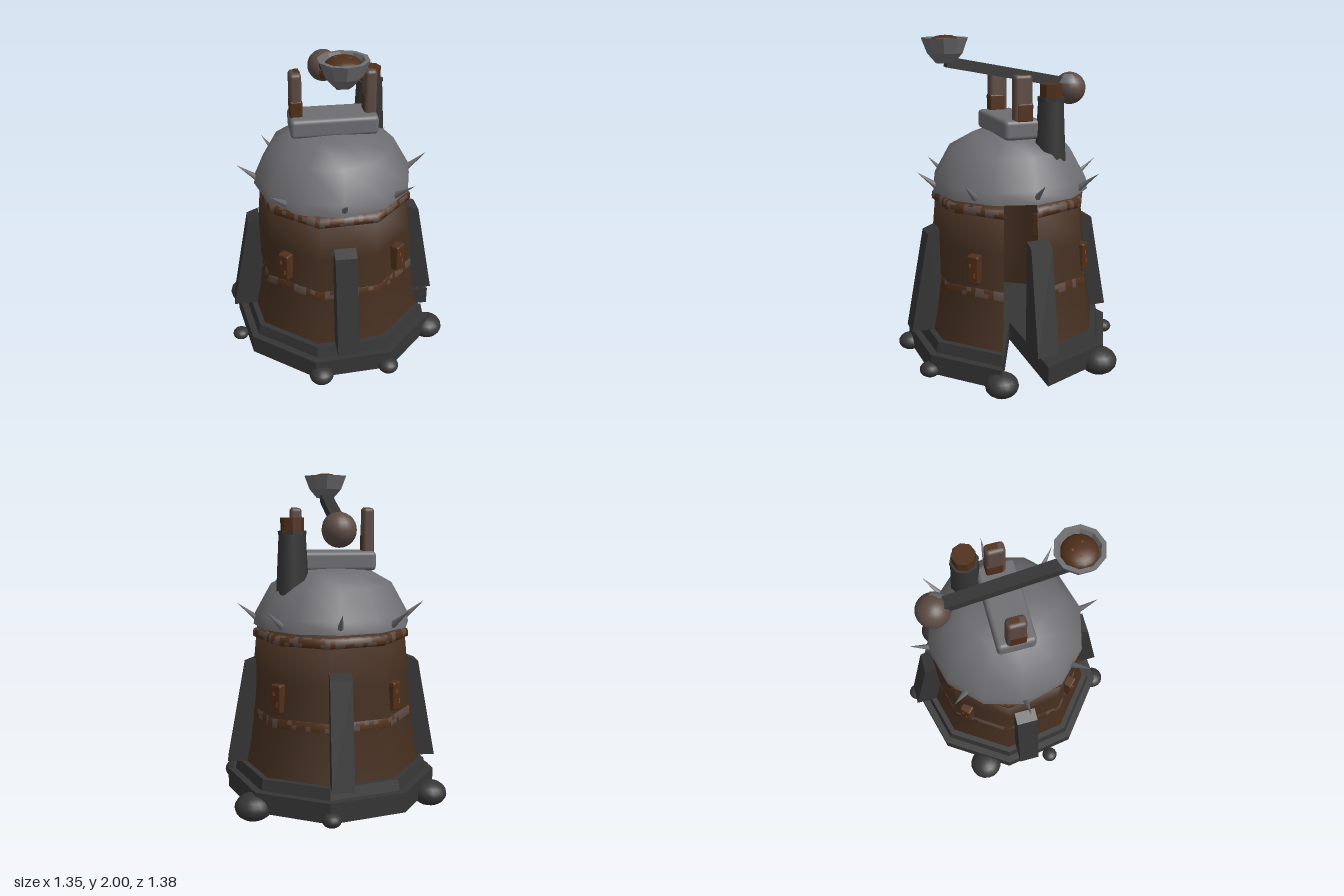
import * as THREE from 'three';
import { RoundedBoxGeometry } from 'three/addons/geometries/RoundedBoxGeometry.js';

const START = Math.PI / 2;                          // the shell is open between +x and 24 degrees
const SIDES = 8;
const STEP = THREE.MathUtils.degToRad(42);
const ARC = STEP * SIDES;
const CX = -0.007;                                  // slight offset of the top fittings

function makeMaterial(name, color, side = THREE.FrontSide) {
  const m = new THREE.MeshStandardMaterial({ color, side });
  m.name = name;
  return m;
}

function seeded(seed) {
  return () => {
    seed = (seed * 16807) % 2147483647;
    return seed / 2147483647;
  };
}

const faceted = (g) => {
  const f = g.toNonIndexed();
  f.computeVertexNormals();
  return f;
};

const profile = (pairs) => pairs.map(([x, y]) => new THREE.Vector2(x, y));

// Patchy hoop that follows the eight flat sides of the shell
function patchyBand(pairs, seed) {
  const sub = 12;
  const g = new THREE.LatheGeometry(profile(pairs), SIDES * sub, START, ARC);
  const p = g.attributes.position;
  for (let i = 0; i < p.count; i++) {
    const column = Math.floor(i / pairs.length);
    const a = (column % sub) / sub * STEP - STEP / 2;
    const k = Math.cos(STEP / 2) / Math.cos(a);
    p.setX(i, p.getX(i) * k);
    p.setZ(i, p.getZ(i) * k);
  }
  const rnd = seeded(seed);
  const rows = pairs.length - 1;
  let worn = 0;
  for (let c = 0; c < SIDES * sub; c++) {
    if (rnd() < 0.45) worn = 1 - worn;
    for (let r = 0; r < rows; r++) {
      const flip = rnd() < 0.15 ? 1 : 0;
      g.addGroup((c * rows + r) * 6, 6, worn ^ flip);
    }
  }
  return g;
}

export function createModel() {
  const model = new THREE.Group();
  model.name = 'model';

  const brown = makeMaterial('shell brown', 0x452f20, THREE.DoubleSide);
  const iron = makeMaterial('dark iron', 0x353535, THREE.DoubleSide);
  const steel = makeMaterial('grey steel', 0x6e6e72, THREE.DoubleSide);
  const worn = makeMaterial('worn metal', 0x5c4a43);
  const rust = makeMaterial('rust', 0x4f2f1a);
  const orange = makeMaterial('orange rust', 0x8a4518);

  const add = (name, geometry, material, x = 0, y = 0, z = 0, parent = model) => {
    const m = new THREE.Mesh(geometry, material);
    m.name = name;
    m.position.set(x, y, z);
    parent.add(m);
    return m;
  };

  // Base slabs with the wedge opening
  const slab = (rt, rb, h) => faceted(new THREE.CylinderGeometry(rt, rb, h, SIDES, 1, false, START, ARC));
  add('baseSlab', slab(0.645, 0.645, 0.12), iron, 0, 0.115, 0);
  add('baseStep', slab(0.585, 0.6, 0.065), iron, 0, 0.207, 0);
  // End walls of the base at the opening
  for (const a of [START, START + ARC]) {
    const wall = add('baseEnd', new THREE.PlaneGeometry(0.645, 0.12), iron,
      Math.sin(a) * 0.3225, 0.115, Math.cos(a) * 0.3225);
    wall.rotation.y = a - Math.PI / 2;
  }

  // Flared shell
  add('shell', new THREE.LatheGeometry(profile([
    [0.55, 0.24], [0.522, 0.38], [0.502, 0.54], [0.478, 0.8], [0.45, 1.09], [0, 1.1],
  ]), SIDES, START, ARC), brown);

  // Hoops
  add('lowerBand', patchyBand([[0.5, 0.53], [0.507, 0.535], [0.503, 0.56], [0.5, 0.585], [0.493, 0.59]], 71), [rust, worn]);
  add('upperBand', patchyBand([[0.452, 1.005], [0.475, 1.015], [0.477, 1.035], [0.472, 1.06], [0.447, 1.07]], 29), [rust, worn]);

  // Domed lid
  add('dome', new THREE.LatheGeometry(profile([
    [0.478, 1.09], [0.468, 1.16], [0.37, 1.335], [0.22, 1.42], [0, 1.44],
  ]), 12), steel, CX, 0, 0);

  // Spikes around the lid
  for (let i = 0; i < 8; i++) {
    const a = i * Math.PI / 4;
    const dir = new THREE.Vector3(Math.sin(a) * 0.78, 0.62, Math.cos(a) * 0.78).normalize();
    const spike = add('spike', new THREE.ConeGeometry(0.022, 0.17, 6), steel,
      Math.sin(a) * 0.51 + CX, 1.167, Math.cos(a) * 0.51);
    spike.quaternion.setFromUnitVectors(new THREE.Vector3(0, 1, 0), dir);
  }

  // Four buttress fins
  const finShape = new THREE.Shape(profile([[0.46, 0.24], [0.65, 0.24], [0.535, 0.85], [0.465, 0.878]]));
  const finGeometry = new THREE.ExtrudeGeometry(finShape, { depth: 0.128, bevelEnabled: false });
  finGeometry.translate(0, 0, -0.064);
  for (let i = 0; i < 4; i++) add('fin', finGeometry, iron, -0.005, 0, 0).rotation.y = i * Math.PI / 2;

  // Rusty lugs on the diagonals
  for (let i = 0; i < 4; i++) {
    const a = Math.PI / 4 + i * Math.PI / 2;
    const lug = new THREE.Group();
    lug.name = 'lug';
    lug.position.set(Math.sin(a) * 0.475, 0.705, Math.cos(a) * 0.475);
    lug.rotation.y = a;
    model.add(lug);
    add('lugBody', new RoundedBoxGeometry(0.075, 0.17, 0.06, 2, 0.012), rust, 0, 0, 0, lug);
    add('lugFleck', new THREE.BoxGeometry(0.014, 0.02, 0.004), orange, -0.012, 0.03, 0.03, lug);
    add('lugFleck', new THREE.BoxGeometry(0.01, 0.03, 0.004), orange, 0.014, -0.03, 0.03, lug);
  }

  // Flattened lumps around the foot: x, z, radius
  for (const [x, z, r] of [
    [0.06, -0.64, 0.056], [0.49, -0.395, 0.112], [0.575, 0.257, 0.098], [0.25, 0.592, 0.062],
    [-0.165, 0.615, 0.073], [-0.63, 0.16, 0.05], [-0.575, -0.29, 0.104],
  ]) {
    add('footLump', new THREE.SphereGeometry(r, 16, 10), iron, x, 0.078, z).scale.y = 0.72;
  }

  // Mounting block and posts on the lid
  add('topBlock', new RoundedBoxGeometry(0.515, 0.115, 0.226, 3, 0.025), steel, CX, 1.472, 0.003);
  for (const s of [-1, 1]) {
    const x = CX + s * 0.217;
    add('post', new RoundedBoxGeometry(0.07, 0.3, 0.112, 3, 0.022), worn, x, 1.635, 0);
    add('postRust', new RoundedBoxGeometry(0.074, 0.11, 0.1, 2, 0.012), rust, x, 1.57, -0.008 * s);
    add('postRust', new THREE.BoxGeometry(0.034, 0.004, 0.06), rust, x + 0.008, 1.784, -0.012);
  }

  // Chimney
  add('chimney', new THREE.CylinderGeometry(0.078, 0.097, 0.36, 8), iron, 0.24, 1.47, -0.165);
  add('chimneyRim', faceted(new THREE.CylinderGeometry(0.083, 0.083, 0.02, 8)), iron, 0.24, 1.645, -0.165);
  add('chimneyPlug', faceted(new THREE.CylinderGeometry(0.068, 0.068, 0.12, 8)), rust, 0.24, 1.67, -0.165);

  // Tilted arm with ball and cup
  const arm = add('arm', new THREE.BoxGeometry(0.07, 0.06, 0.77), iron, CX, 1.775, 0.005);
  arm.rotation.x = -Math.atan2(0.145, 0.74);
  add('ball', new THREE.SphereGeometry(0.098, 20, 14), worn, CX, 1.668, -0.395);
  const patch = add('ballPatch', new THREE.SphereGeometry(0.1, 10, 6, 0, 1.1, 0.5, 0.7), steel, CX, 1.668, -0.395);
  patch.rotation.y = 2.0;
  const stain = add('ballRust', new THREE.SphereGeometry(0.1, 10, 6, 0, 0.9, 1.6, 0.6), rust, CX, 1.668, -0.395);
  stain.rotation.y = 1.2;

  add('cup', faceted(new THREE.LatheGeometry(profile([
    [0, 1.84], [0.055, 1.843], [0.105, 1.9], [0.138, 1.985], [0.113, 1.985], [0.095, 1.94], [0, 1.93],
  ]), 10)), steel, CX, 0, 0.387);
  add('cupFilling', new THREE.SphereGeometry(0.1, 16, 6, 0, Math.PI * 2, 0, Math.PI / 2), rust,
    CX, 1.95, 0.387).scale.y = 0.5;
  for (const [x, z] of [[0.03, 0.02], [-0.04, -0.01], [0.0, -0.04]]) {
    add('cupFleck', new THREE.BoxGeometry(0.012, 0.006, 0.01), orange, CX + x, 1.994, 0.387 + z);
  }

  return model;
}
